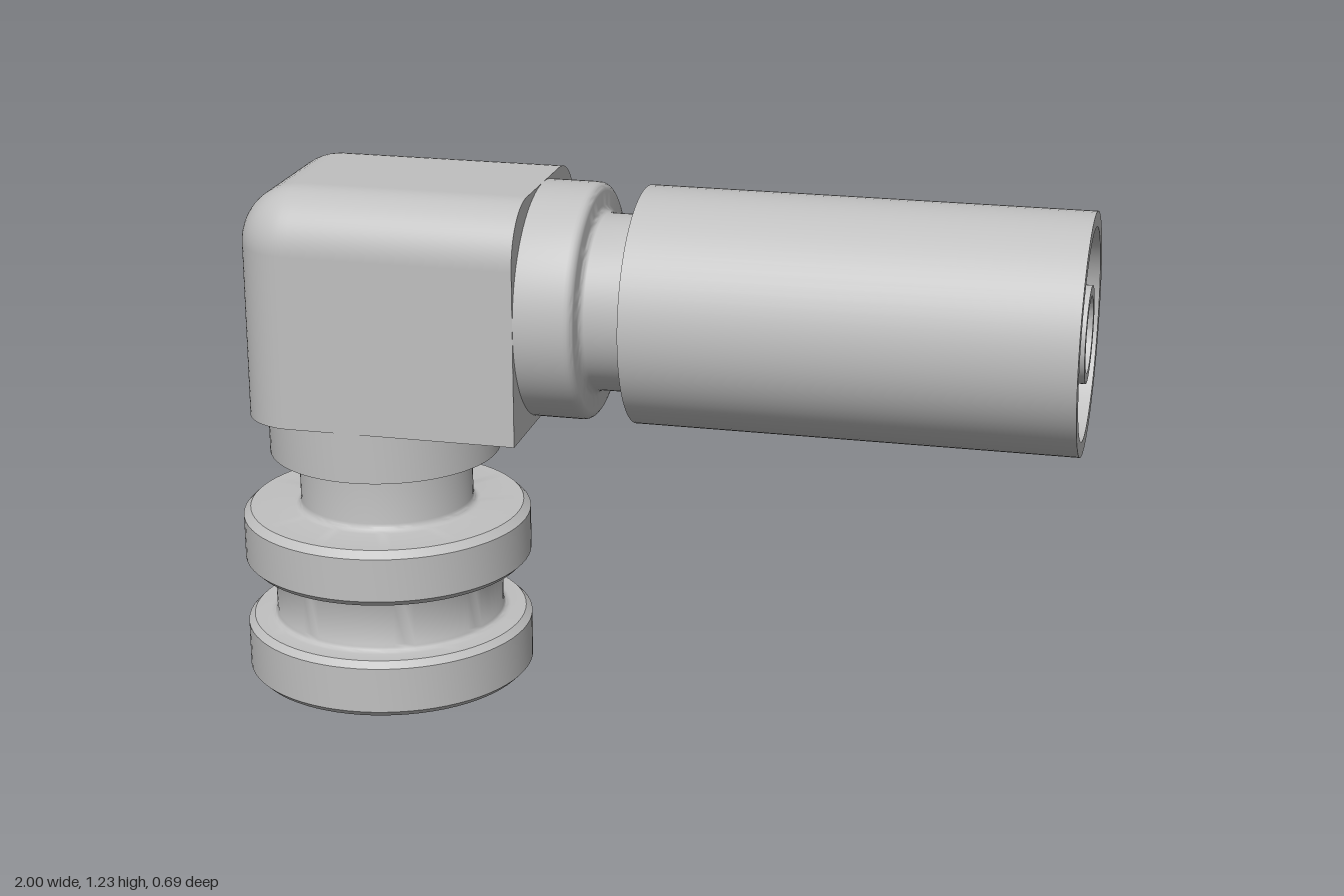
import * as THREE from 'three';
import { toCreasedNormals } from 'three/addons/utils/BufferGeometryUtils.js';

const STEM_X = -0.655, AXIS_Y = 0.955;

// Turned part with smooth curves and sharp steps; profile is [radius, height]
function turned(profile) {
  const pts = profile.map(([r, h]) => new THREE.Vector2(r, h));
  return toCreasedNormals(new THREE.LatheGeometry(pts, 72), 0.6);
}

// Quarter-round between two angles, in degrees
function arc(cr, ch, rad, from, to, n = 4) {
  return Array.from({ length: n + 1 }, (_, i) => {
    const a = THREE.MathUtils.degToRad(from + (to - from) * i / n);
    return [cr + rad * Math.cos(a), ch + rad * Math.sin(a)];
  });
}

// Box rounded on its top, its -x end and its long top edges; bottom and +x stay square
function elbowBlock() {
  const min = new THREE.Vector3(-0.93, 0.68, -0.276);
  const max = new THREE.Vector3(-0.255, 1.23, 0.276);
  const r = 0.135, size = max.clone().sub(min);
  const inner = new THREE.Box3(
    new THREE.Vector3(min.x + r, min.y, min.z + r),
    new THREE.Vector3(max.x, max.y - r, max.z - r));
  const geo = new THREE.BoxGeometry(size.x, size.y, size.z, 32, 32, 32);
  geo.translate((min.x + max.x) / 2, (min.y + max.y) / 2, 0);
  const pos = geo.attributes.position, nor = geo.attributes.normal;
  const p = new THREE.Vector3(), q = new THREE.Vector3();
  for (let i = 0; i < pos.count; i++) {
    p.fromBufferAttribute(pos, i);
    inner.clampPoint(p, q);
    const d = p.sub(q).clampLength(0, r);
    pos.setXYZ(i, q.x + d.x, q.y + d.y, q.z + d.z);
    const square = nor.getX(i) > 0.5 || nor.getY(i) < -0.5;
    if (!square) {
      d.normalize();
      nor.setXYZ(i, d.x, d.y, d.z);
    }
  }
  return geo;
}

export function createModel() {
  const model = new THREE.Group();
  const metal = new THREE.MeshStandardMaterial({ color: 0xc0c0c0 });
  metal.name = 'grey metal';
  const add = (name, geo) => {
    const mesh = new THREE.Mesh(geo, metal);
    mesh.name = name;
    model.add(mesh);
    return mesh;
  };

  add('elbowBlock', elbowBlock());

  // Grooved stem with a conical mouth underneath
  const stem = add('groovedStem', turned([
    [0, 0.6], [0.075, 0.6], [0.075, 0.24], [0.3, 0],
    [0.33, 0], [0.345, 0.015], [0.345, 0.125], [0.33, 0.14],
    ...arc(0.293, 0.158, 0.018, 270, 180),
    ...arc(0.293, 0.262, 0.018, 180, 90),
    [0.33, 0.28], [0.345, 0.295], [0.345, 0.4], [0.328, 0.417],
    ...arc(0.225, 0.435, 0.018, 270, 180),
    [0.207, 0.56], [0.275, 0.56], [0.275, 0.68],
  ]));
  stem.position.x = STEM_X;

  // Collar, neck, hollow sleeve and tapered inner tube on one axis
  const sleeve = add('sleeveAndInnerTube', turned([
    [0.275, -0.256],
    ...arc(0.255, -0.14, 0.02, 0, 90),
    ...arc(0.223, -0.102, 0.018, 270, 180),
    [0.205, -0.015], [0.275, -0.015], [0.275, 1],
    [0.24, 1], [0.21, 0.15], [0.135, 0.15],
    [0.11, 1], [0.086, 1], [0.086, -0.2], [0, -0.245],
  ]));
  sleeve.rotation.z = -Math.PI / 2;
  sleeve.position.y = AXIS_Y;

  return model;
}
